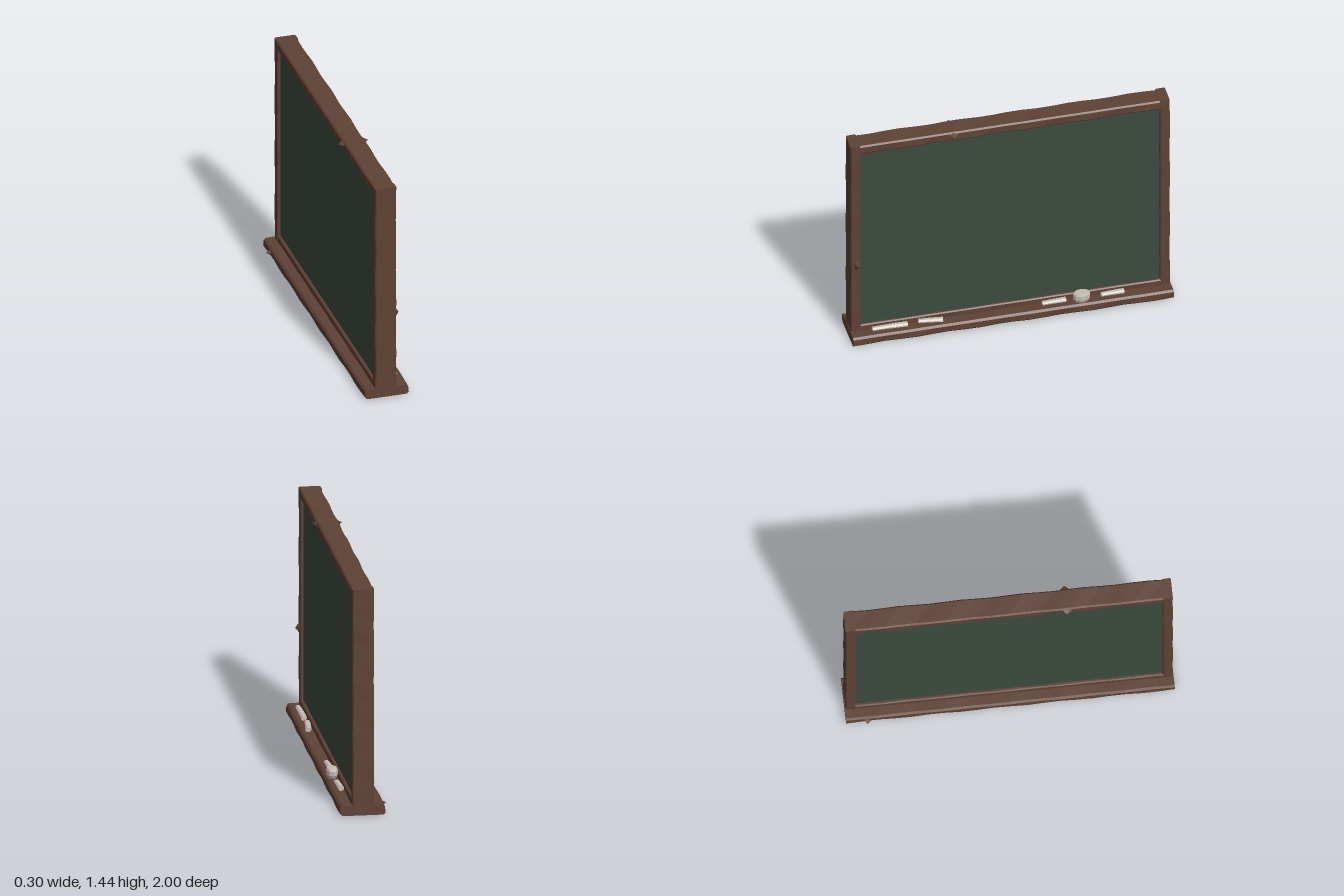
import * as THREE from 'three';

const material = (name, color) => {
  const m = new THREE.MeshStandardMaterial({ color, flatShading: true });
  m.name = name;
  return m;
};

// Chamfered bar running along z, with gently uneven hand-carved edges
function barGeometry(w, h, length, chamfer, steps, wobble) {
  const a = w / 2, b = h / 2, c = chamfer;
  const outline = [[-a + c, -b], [a - c, -b], [a, -b + c], [a, b - c], [a - c, b], [-a + c, b], [-a, b - c], [-a, -b + c]];
  const shape = new THREE.Shape(outline.map(([x, y]) => new THREE.Vector2(x, y)));
  const geo = new THREE.ExtrudeGeometry(shape, { depth: length, steps, bevelEnabled: false });
  geo.translate(0, 0, -length / 2);
  const p = geo.attributes.position;
  for (let i = 0; i < p.count; i++) {
    const x = p.getX(i), y = p.getY(i), z = p.getZ(i);
    const shrink = wobble * (0.5 + 0.5 * Math.sin(z * 17 + Math.sign(x) * 2 + Math.sign(y) * 1.3));
    p.setXY(i, x - Math.sign(x) * shrink, y - Math.sign(y) * shrink);
  }
  geo.computeVertexNormals();
  return geo;
}

export function createModel() {
  const group = new THREE.Group();
  const wood = material('brown wood', 0x5f4235);
  const slate = material('green slate', 0x3d4b3f);
  const chalk = material('chalk white', 0xc4bdb4);

  const add = (name, geo, mat, x, y, z) => {
    const mesh = new THREE.Mesh(geo, mat);
    mesh.name = name;
    mesh.position.set(x, y, z);
    group.add(mesh);
    return mesh;
  };

  // Writing surface, visible on both faces
  add('board', new THREE.BoxGeometry(0.095, 1.31, 1.9), slate, 0.006, 0.73, 0);

  // Frame
  for (const s of [1, -1]) {
    const post = add(s > 0 ? 'frontPost' : 'backPost', barGeometry(0.135, 0.065, 1.39, 0.007, 12, 0.003), wood, 0.006, 0.745, s * 0.965);
    post.rotation.x = Math.PI / 2;
  }
  add('topRail', barGeometry(0.135, 0.065, 1.9, 0.009, 20, 0.004), wood, 0.006, 1.409, 0);
  add('bottomRail', barGeometry(0.135, 0.06, 1.9, 0.007, 20, 0.004), wood, 0.006, 0.073, 0);

  // Ledge along the foot, standing out on both sides
  add('tray', barGeometry(0.28, 0.065, 2, 0.012, 20, 0.004), wood, 0.01, 0.0325, 0);

  // Splinters on the wood: x, y, z, outward direction, length along z, length along y
  const splinters = [
    [0.072, 0.555, 0.96, 1, 0.025, 0.055],
    [0.072, 1.42, 0.35, 1, 0.05, 0.02],
    [-0.06, 1.42, 0.35, -1, 0.05, 0.02],
    [-0.128, 0.033, -0.87, -1, 0.035, 0.022],
  ];
  for (const [x, y, z, dir, lz, ly] of splinters) {
    const chip = add('splinter', new THREE.ConeGeometry(1, 0.04, 5), wood, x + dir * 0.007, y, z);
    chip.scale.set(ly, 1, lz);
    chip.rotation.z = -dir * Math.PI / 2;
  }

  // Chalk sticks: x, z, length, turn
  const sticks = [
    [0.095, 0.76, 0.22, 0], [0.096, 0.505, 0.15, -0.13],
    [0.094, -0.265, 0.15, 0.04], [0.095, -0.63, 0.145, 0.03],
  ];
  for (const [x, z, length, turn] of sticks) {
    const stick = add('chalkStick', barGeometry(0.038, 0.028, length, 0.009, 3, 0.002), chalk, x, 0.077, z);
    stick.rotation.y = turn;
  }

  // Rounded lump of chalk
  const profile = [[0, 0], [0.8, 0], [1, 0.02], [1, 0.048], [0.85, 0.06], [0, 0.062]].map(([r, y]) => new THREE.Vector2(r, y));
  const lump = add('chalkLump', new THREE.LatheGeometry(profile, 10), chalk, 0.106, 0.066, -0.435);
  lump.scale.set(0.036, 1, 0.054);

  return group;
}
